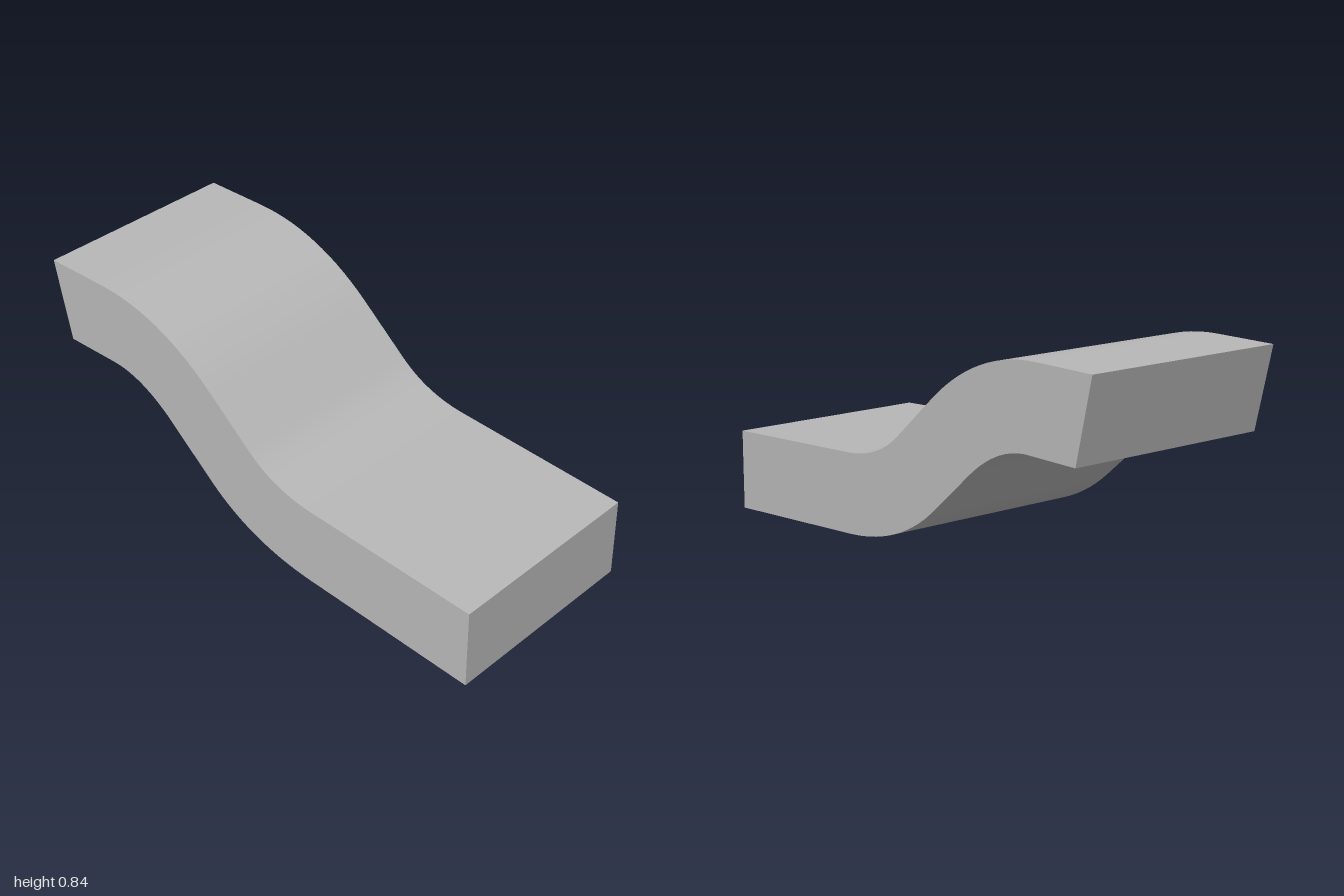
import * as THREE from 'three';

const DEPTH = 0.816;

export function createModel() {
  const group = new THREE.Group();
  group.name = 'curvedRamp';

  const grey = new THREE.MeshStandardMaterial({ color: 0xb8b8b8 });
  grey.name = 'light grey';

  // S-shaped side profile
  const profile = new THREE.Shape();
  // underside, from the upper end down to the lower end
  profile.moveTo(-0.927, 0.53);
  profile.lineTo(-0.7, 0.53);
  profile.quadraticCurveTo(-0.549, 0.53, -0.4, 0.405);
  profile.lineTo(-0.2, 0.235);
  profile.quadraticCurveTo(-0.004, 0.071, 0.29, 0.05);
  profile.lineTo(1, 0);
  // lower end, then the top back up to the slanted upper end
  profile.lineTo(1, 0.31);
  profile.lineTo(0.29, 0.355);
  profile.quadraticCurveTo(0.118, 0.366, 0, 0.465);
  profile.lineTo(-0.2, 0.635);
  profile.quadraticCurveTo(-0.444, 0.84, -0.74, 0.84);
  profile.lineTo(-1, 0.84);
  profile.closePath();

  // solid slab swept across the width
  const geometry = new THREE.ExtrudeGeometry(profile, {
    depth: DEPTH,
    bevelEnabled: false,
    curveSegments: 14,
  });
  geometry.translate(0, 0, -DEPTH / 2);

  const slab = new THREE.Mesh(geometry, grey);
  slab.name = 'rampSlab';
  group.add(slab);
  return group;
}
